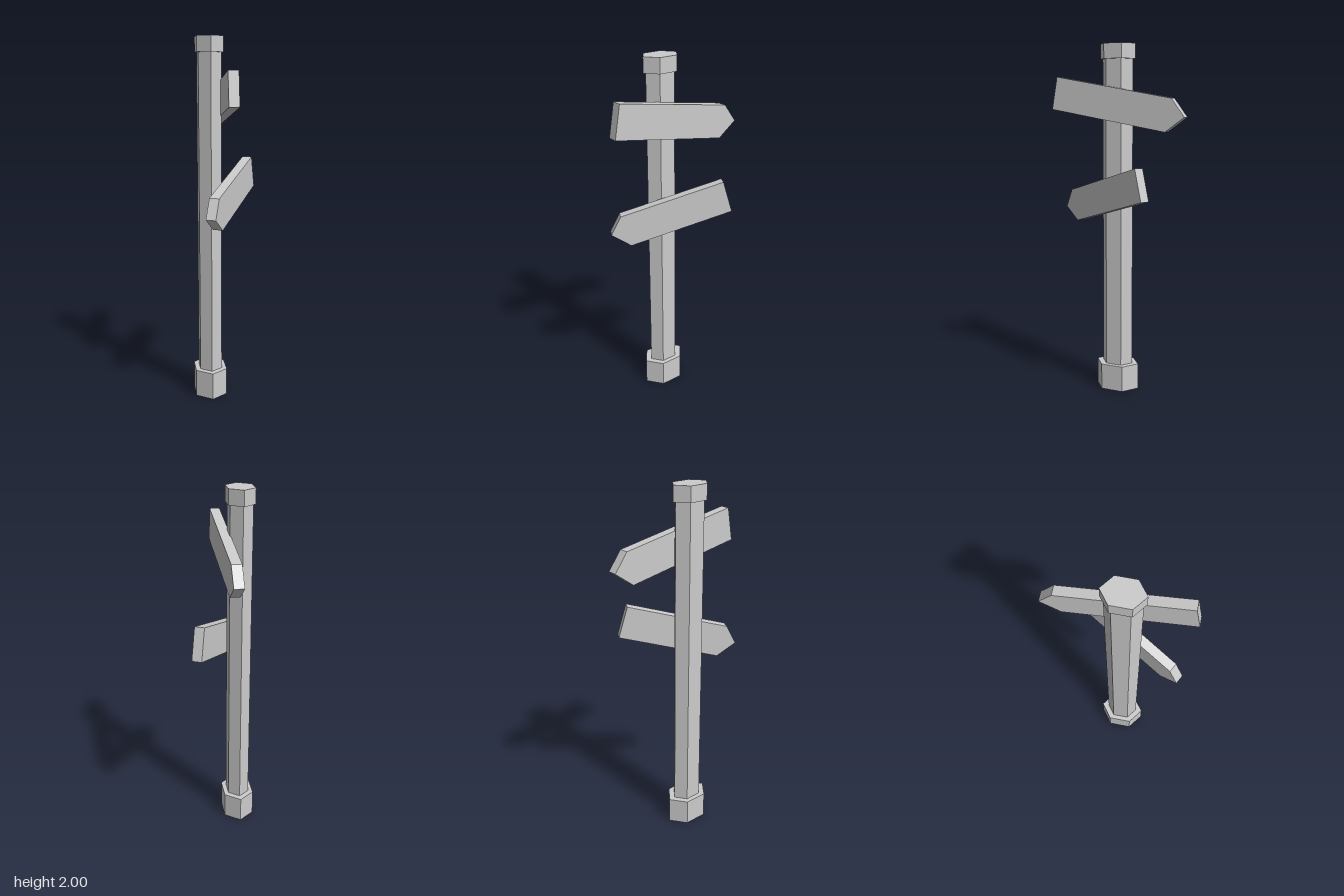
import * as THREE from 'three';

const material = new THREE.MeshStandardMaterial({ color: 0xcccccc, flatShading: true });

// Squeezed six-sided prism standing between two heights on the post axis
function hexPrism(name, radius, bottom, top) {
  const geometry = new THREE.CylinderGeometry(radius, radius, top - bottom, 6);
  geometry.scale(0.766, 1, 1);
  const mesh = new THREE.Mesh(geometry, material);
  mesh.name = name;
  mesh.position.set(-0.107, (bottom + top) / 2, 0.037);
  return mesh;
}

// Pointed board: outline in (length, height), turned about the vertical
function signBoard(name, outline, x, z, yaw) {
  const shape = new THREE.Shape(outline.map(([u, v]) => new THREE.Vector2(u, v)));
  const geometry = new THREE.ExtrudeGeometry(shape, { depth: 0.055, bevelEnabled: false });
  const mesh = new THREE.Mesh(geometry, material);
  mesh.name = name;
  mesh.position.set(x, 0, z);
  mesh.rotation.y = yaw;
  return mesh;
}

export function createModel() {
  const group = new THREE.Group();
  group.name = 'signpost';

  // Post with foot and cap
  group.add(
    hexPrism('foot', 0.131, 0, 0.152),
    hexPrism('post', 0.092, 0.1, 1.95),
    hexPrism('cap', 0.107, 1.917, 2)
  );

  // Upper board points to the back, lower board to the front right
  group.add(
    signBoard('upperSign',
      [[-0.395, 1.64], [0.283, 1.52], [0.392, 1.6], [0.318, 1.7], [-0.363, 1.82]],
      -0.052, 0, Math.PI / 2),
    signBoard('lowerSign',
      [[0, 1.07], [0.107, 0.998], [0.667, 1.16], [0.616, 1.335], [0.053, 1.175]],
      -0.164, 0.345, 1.094)
  );

  return group;
}
